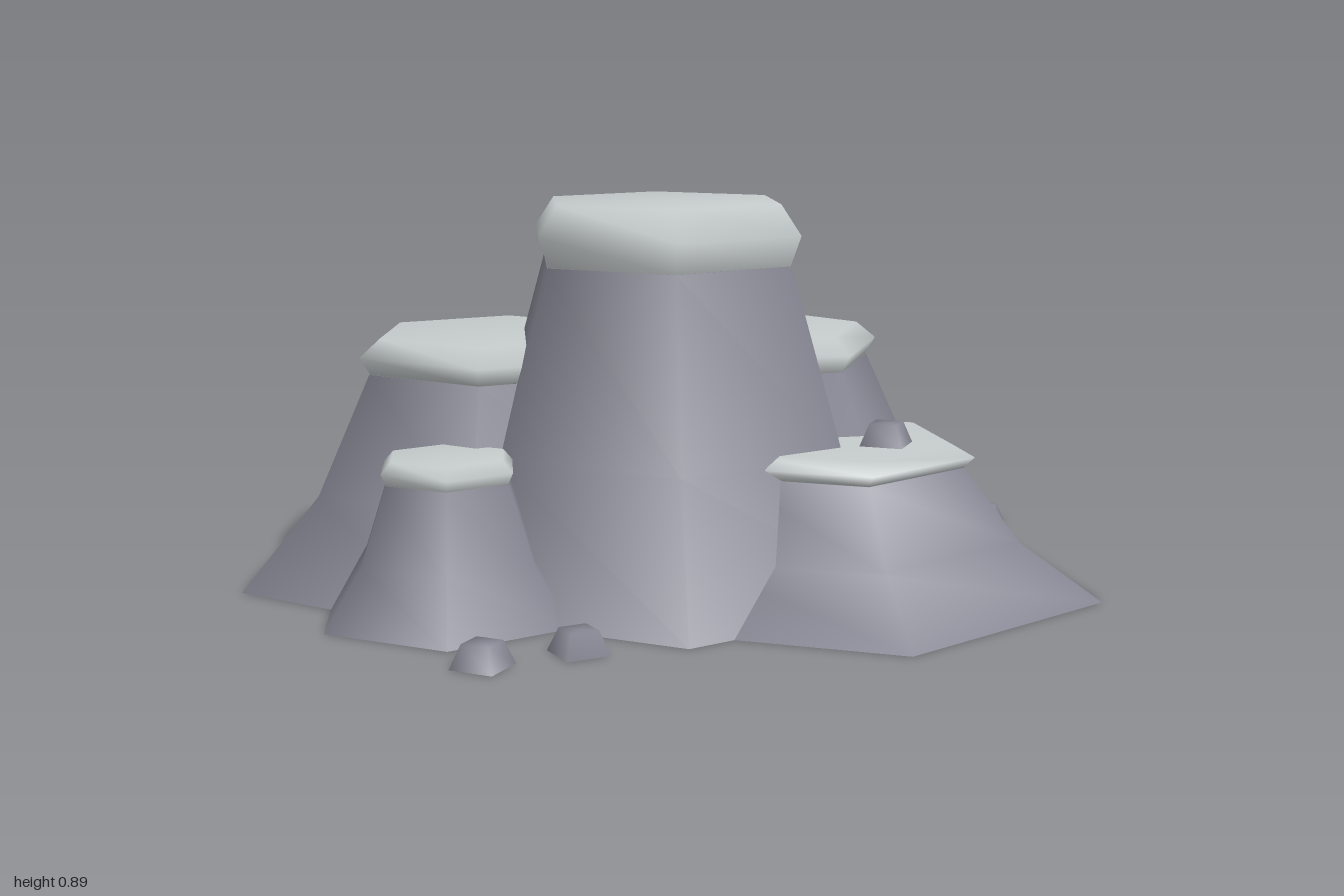
import * as THREE from 'three';

const stone = new THREE.MeshStandardMaterial({ color: 0x858592 });
const pale = new THREE.MeshStandardMaterial({ color: 0xc6cccc });

// Smooth-shaded faceted solid: profile of [radius, y] pairs, with the first corner turned to
// `angle` degrees (measured from +x towards +z)
function faceted(name, profile, sides, angle, material) {
  const points = profile.map(([r, y]) => new THREE.Vector2(r, y));
  const start = THREE.MathUtils.degToRad(90 - angle);
  const mesh = new THREE.Mesh(new THREE.LatheGeometry(points, sides, start), material);
  mesh.name = name;
  return mesh;
}

// Flat underside, kept apart so the bottom edge stays sharp
function underside(name, radius, y, sides, angle, material) {
  return faceted(name, [[0, y], [radius, y]], sides, angle, material);
}

// Flared hexagonal rock with a bevelled slab on top
function createRock({ name, x, z, angle, bodyTop, top, scale = 1 }) {
  const rock = new THREE.Group();
  rock.name = name;
  rock.position.set(x, 0, z);
  const s = scale;
  const mid = (bodyTop + top) / 2;
  const body = [[0.64 * s, 0], [0.45 * s, bodyTop * 0.43], [0.32 * s, bodyTop]];
  const cap = [[0.317 * s, bodyTop], [0.343 * s, mid], [0.293 * s, top], [0, top]];
  rock.add(
    faceted(name + 'Body', body, 6, angle, stone),
    underside(name + 'Base', 0.64 * s, 0, 6, angle, stone),
    faceted(name + 'Cap', cap, 6, angle, pale),
    underside(name + 'CapUnderside', 0.317 * s, bodyTop, 6, angle, pale),
  );
  return rock;
}

// Small tapered four-sided stone
function createPebble([x, y, z, angle], i) {
  const pebble = new THREE.Group();
  pebble.name = 'pebble' + (i + 1);
  pebble.position.set(x, y, z);
  pebble.add(
    faceted('pebbleBody', [[0.071, 0], [0.045, 0.052], [0, 0.052]], 4, angle, stone),
    underside('pebbleBase', 0.071, 0, 4, angle, stone),
  );
  return pebble;
}

export function createModel() {
  const model = new THREE.Group();
  model.name = 'rockFormation';

  const rocks = [
    { name: 'mainRock', x: -0.015, z: 0.06, angle: 40, bodyTop: 0.75, top: 0.89 },
    { name: 'backRightRock', x: -0.38, z: -0.15, angle: 47, bodyTop: 0.485, top: 0.568 },
    { name: 'backLeftRock', x: 0.23, z: -0.11, angle: 0, bodyTop: 0.485, top: 0.566 },
    { name: 'frontLeftRock', x: 0.34, z: 0.22, angle: 33, bodyTop: 0.29, top: 0.342 },
    { name: 'frontRightRock', x: -0.565, z: 0.28, angle: 40, bodyTop: 0.305, top: 0.355, scale: 0.48 },
  ];
  rocks.forEach((r) => model.add(createRock(r)));

  // Loose stones: x, y, z, corner angle
  const pebbles = [
    [-0.565, 0, 0.705, 85],
    [-0.355, 0, 0.66, 32],
    [0.09, 0, -0.82, 45],
    [0.925, 0, -0.23, 80],
    [0.44, 0.34, 0.33, 80],
  ];
  pebbles.forEach((p, i) => model.add(createPebble(p, i)));

  return model;
}
